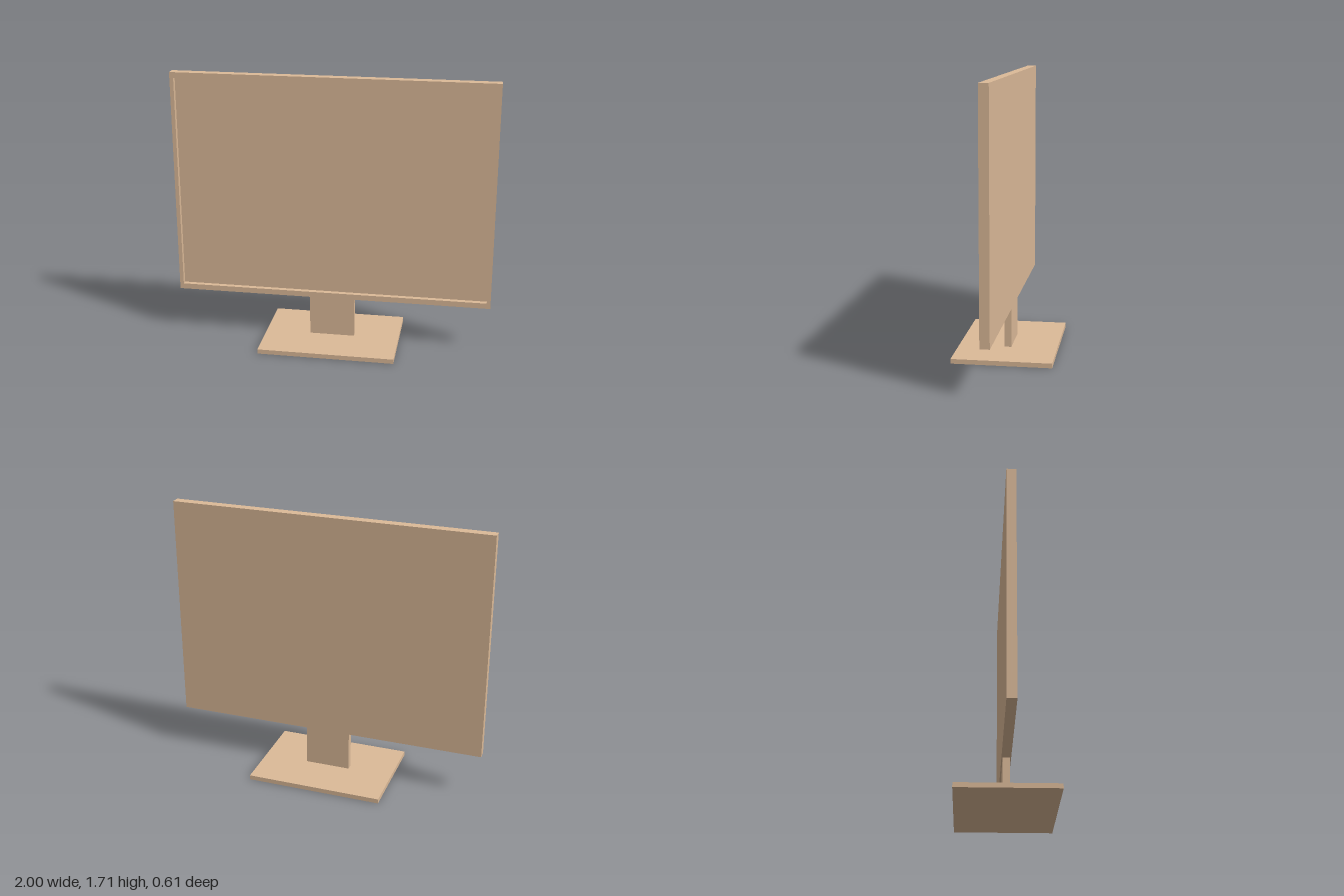
import * as THREE from 'three';

const material = new THREE.MeshStandardMaterial({ color: 0xdcba98 });

function rectPath(path, x0, x1, y0, y1) {
  path.moveTo(x0, y0);
  path.lineTo(x1, y0);
  path.lineTo(x1, y1);
  path.lineTo(x0, y1);
  path.closePath();
  return path;
}

export function createModel() {
  const model = new THREE.Group();
  model.name = 'monitor';

  const add = (name, geometry, x, y, z) => {
    const mesh = new THREE.Mesh(geometry, material);
    mesh.name = name;
    mesh.position.set(x, y, z);
    model.add(mesh);
  };

  // heights and depths shared by the parts
  const baseTop = 0.029, panelBottom = 0.286, panelTop = 1.714;
  const panelHalfDepth = 0.0286, recess = 0.03;
  const panelDepth = panelHalfDepth * 2;

  // stand: flat base plate and upright neck
  add('base', new THREE.BoxGeometry(0.857, baseTop, 0.614), 0, baseTop / 2, 0);
  add('neck', new THREE.BoxGeometry(0.286, panelBottom - baseTop, 0.043),
    0, (panelBottom + baseTop) / 2, 0);

  // bezel: outer frame around the recessed screen
  const frame = rectPath(new THREE.Shape(), -1, 1, panelBottom, panelTop);
  frame.holes.push(rectPath(new THREE.Path(), -0.976, 0.976, 0.321, 1.679));
  add('bezel', new THREE.ExtrudeGeometry(frame, { depth: recess, bevelEnabled: false }),
    0, 0, panelHalfDepth - recess);

  // back shell: its front face is the screen at the bottom of the recess
  const shellDepth = panelDepth - recess;
  add('screenAndBack', new THREE.BoxGeometry(2, panelTop - panelBottom, shellDepth),
    0, (panelTop + panelBottom) / 2, -panelHalfDepth + shellDepth / 2);

  return model;
}
